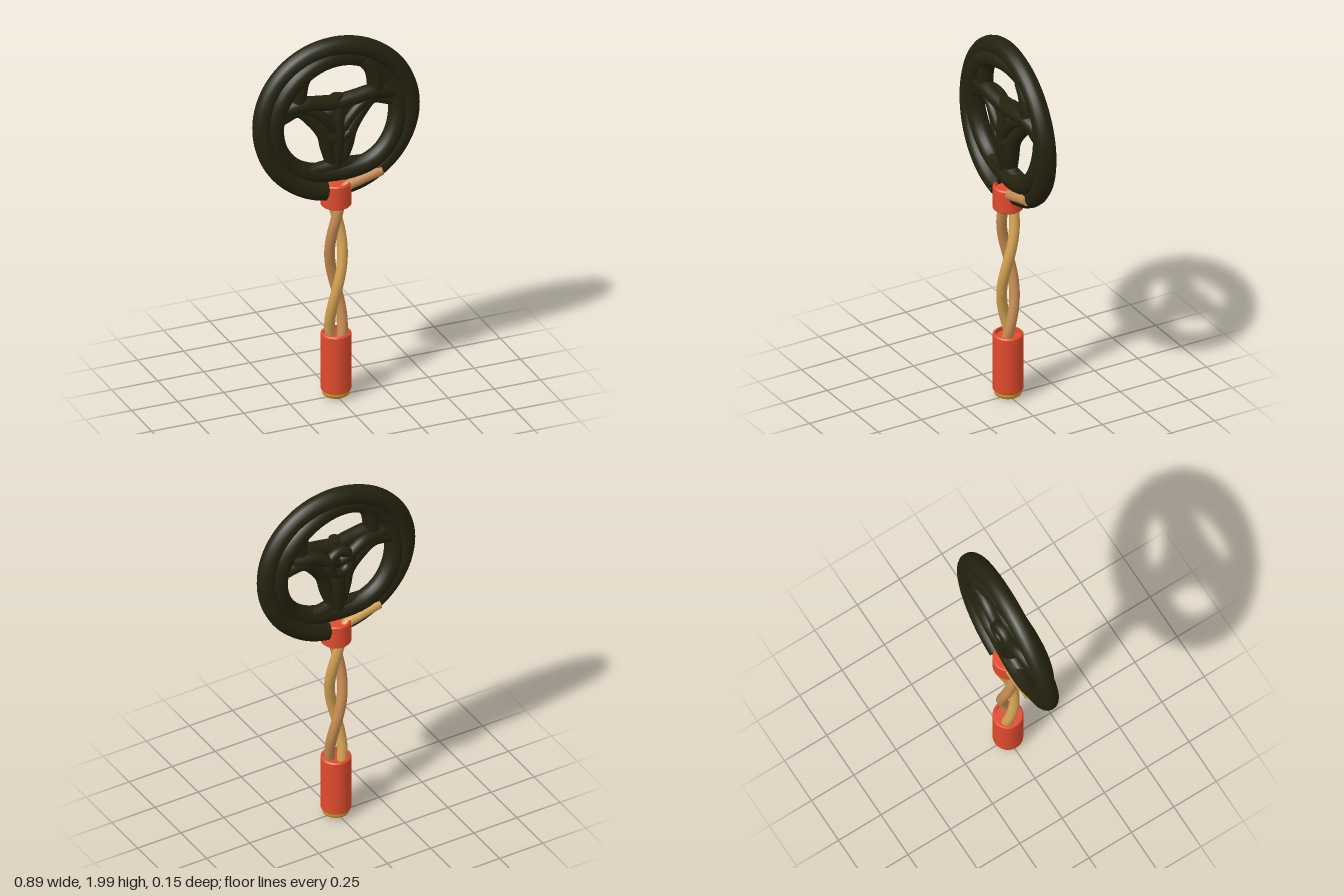
import * as THREE from 'three';
import { mergeGeometries } from 'three/addons/utils/BufferGeometryUtils.js';

const mat = (name, color) => Object.assign(new THREE.MeshStandardMaterial({ color }), { name });
const CY = 1.555; // centre height of the ring

export function createModel() {
  const model = new THREE.Group();
  model.name = 'twistedWand';
  const dark = mat('dark olive', 0x24230f);
  const red = mat('red', 0xe04b2d);
  const gold = mat('gold', 0xcf9a2e);
  const honey = mat('honey wood', 0xd3a153);
  const tan = mat('tan wood', 0xc58b52);

  const add = (name, geometry, material, parent = model) => {
    const mesh = new THREE.Mesh(geometry, material);
    mesh.name = name;
    parent.add(mesh);
    return mesh;
  };

  // Tube through points, closed at both ends by flat discs
  const strand = (points, radius, closed = false, segments = 64) => {
    const curve = new THREE.CatmullRomCurve3(points, closed);
    const tube = new THREE.TubeGeometry(curve, segments, radius, 16, closed);
    if (closed) return tube;
    const discs = [0, 1].map((t) => {
      const dir = curve.getTangentAt(t).multiplyScalar(t ? 1 : -1);
      const q = new THREE.Quaternion().setFromUnitVectors(new THREE.Vector3(0, 0, 1), dir);
      return new THREE.CircleGeometry(radius, 16).applyQuaternion(q).translate(...curve.getPointAt(t).toArray());
    });
    return mergeGeometries([tube, ...discs]);
  };
  const V = (x, y, z = 0) => new THREE.Vector3(x, y, z);
  const ringPoint = (phi, r, z) => V(r * Math.sin(phi), CY + r * Math.cos(phi), z);

  // Turned sleeve with a shallow recess on top; separate spans keep the rims sharp
  const sleeve = (r, y0, y1) => {
    const spans = [
      [[0, y0], [r - 0.006, y0]],
      [[r - 0.006, y0], [r, y0 + 0.006]],
      [[r, y0 + 0.006], [r, y1 - 0.006]],
      [[r, y1 - 0.006], [r - 0.006, y1]],
      [[r - 0.006, y1], [r - 0.014, y1]],
      [[r - 0.014, y1], [r - 0.014, y1 - 0.02]],
      [[r - 0.014, y1 - 0.02], [0, y1 - 0.02]],
    ];
    return mergeGeometries(spans.map((s) => new THREE.LatheGeometry(s.map((p) => new THREE.Vector2(...p)), 40)));
  };
  add('gripSleeve', sleeve(0.077, 0.045, 0.362), red);
  add('collar', sleeve(0.077, 1.07, 1.2), red);

  // Domed pommel under the grip
  const pommel = [[0, 0.006], [0.03, 0.008], [0.055, 0.013], [0.067, 0.022], [0.07, 0.035], [0.07, 0.06]];
  add('pommel', new THREE.LatheGeometry(pommel.map((p) => new THREE.Vector2(...p)), 40), gold);

  // Two wooden strands twisting round each other, then parting into the ring
  for (const [name, side, material] of [['honeyStrand', 1, honey], ['tanStrand', -1, tan]]) {
    const points = [];
    for (let i = 0; i <= 24; i++) {
      const y = 0.33 + (i / 24) * 0.79;
      const a = (Math.PI * (0.85 - y)) / 0.41;
      points.push(V(side * 0.032 * Math.cos(a), y, side * 0.032 * Math.sin(a)));
    }
    for (const [x, y, z] of [[0.05, 1.173, 0.025], [0.11, 1.193, 0.026], [0.17, 1.21, 0.026], [0.235, 1.226, 0.026]]) {
      points.push(V(-side * x, y, -side * z));
    }
    add(name, strand(points, 0.027, false, 140), material);
  }

  // Ring: an open outer strand weaving against a closed inner one
  const ring = new THREE.Group();
  ring.name = 'ring';
  model.add(ring);
  const outer = [];
  const inner = [];
  for (let i = 0; i <= 48; i++) {
    const phi = -2.98 + (i / 48) * 5.96;
    outer.push(ringPoint(phi, 0.395, 0.016 * Math.sin(1.5 * phi)));
    if (i === 48) continue;
    const p = -Math.PI + (i / 48) * Math.PI * 2;
    const low = Math.max(0, -Math.cos(p)) ** 6;
    inner.push(ringPoint(p, 0.335 - 0.035 * low, -0.014 * Math.sin(2 * p)));
  }
  add('outerStrand', strand(outer, 0.05, false, 128), dark, ring);
  add('innerStrand', strand(inner, 0.049, true, 128), dark, ring);

  // Hub: a woven triangle of strands, mirrored left and right
  const hub = new THREE.Group();
  hub.name = 'hub';
  model.add(hub);
  for (const s of [-1, 1]) {
    const side = s < 0 ? 'right' : 'left';
    const path = (pts) => pts.map(([x, y, z]) => V(s * x, y, z));
    add(side + 'TopBar', strand(path([[0.31, 1.64, 0], [0.2, 1.67, 0.018], [0.1, 1.66, 0.02], [0, 1.645, 0.015]]), 0.04), dark, hub);
    add(side + 'EdgeStrand', strand(path([[0.3, 1.61, 0], [0.2, 1.63, -0.012], [0.12, 1.56, 0], [0.068, 1.48, 0.01], [0.048, 1.4, 0.008], [0.02, 1.32, 0]]), 0.04), dark, hub);
    add(side + 'BrowStrand', strand(path([[0.19, 1.65, 0.02], [0.11, 1.61, 0.032], [0.06, 1.56, 0.034], [0.02, 1.5, 0.03]]), 0.026), dark, hub);
    add(side + 'BackStrand', strand(path([[0.26, 1.65, -0.01], [0.14, 1.645, -0.026], [0.06, 1.6, -0.03], [0, 1.57, -0.02]]), 0.033), dark, hub);
    add(side + 'LipStrand', strand(path([[0.075, 1.49, 0.02], [0.04, 1.465, 0.032], [0, 1.45, 0.036]]), 0.024), dark, hub);
    add(side + 'Shoulder', strand(path([[0.15, 1.855, 0.005], [0.19, 1.8, 0.008], [0.205, 1.74, 0.01], [0.21, 1.67, 0.01]]), 0.042), dark, hub);
    add(side + 'Foot', strand(path([[0.16, 1.28, 0], [0.09, 1.285, 0], [0, 1.3, 0.005]]), 0.036), dark, hub);
  }
  add('centreStrand', strand([V(0, 1.69, 0.012), V(0, 1.6, 0.026), V(0, 1.5, 0.032), V(0, 1.4, 0.025), V(0, 1.25, 0)], 0.032), dark, hub);
  add('lowerSpoke', strand([V(0, 1.5, -0.015), V(0, 1.4, -0.018), V(0, 1.24, 0)], 0.04), dark, hub);
  add('hubCore', new THREE.SphereGeometry(0.08, 24, 16), dark, hub).position.set(0, 1.57, 0);
  hub.getObjectByName('hubCore').scale.z = 0.5;
  add('backKnot', new THREE.TorusGeometry(0.062, 0.028, 12, 32), dark, hub).position.set(0, 1.575, -0.035);

  return model;
}
